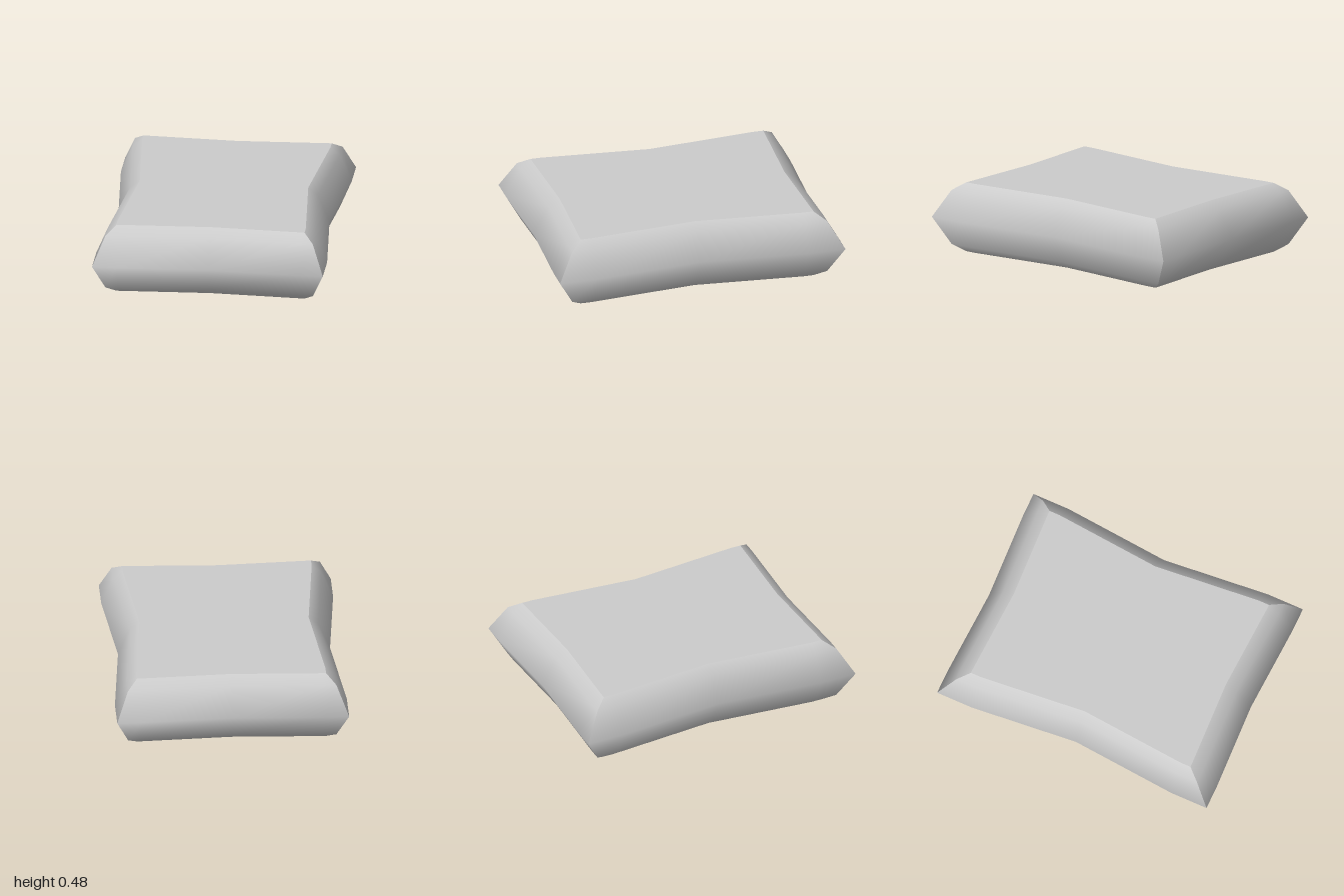
import * as THREE from 'three';

// Half-profile of the rim: height, half width (x), half depth (z)
const LEVELS = [
  [0, 0.64, 0.815],
  [0.052, 0.705, 0.893],
  [0.24, 0.785, 1],
  [0.428, 0.705, 0.893],
  [0.48, 0.64, 0.815],
];
const WAIST_X = { depth: 0.067, reach: 0.74 };
const WAIST_Z = { depth: 0.028, reach: 0.62 };

// Inward pinch, strongest at the middle of a side
const pinch = (t, w) => w.depth * Math.max(0, 1 - Math.abs(t) / w.reach);

// Points along one side at a level, counter-clockwise seen from above
function sideRow([y, hx, hz], along) {
  const isFront = along === 'x';
  const end = isFront ? hx : hz;
  const reach = (isFront ? WAIST_Z : WAIST_X).reach;
  return [-end, -reach, 0, reach, end].map((t) => isFront
    ? [t, y, hz - pinch(t, WAIST_Z)]
    : [hx - pinch(t, WAIST_X), y, -t]);
}

function makeGeometry(points, index) {
  const geo = new THREE.BufferGeometry();
  geo.setAttribute('position', new THREE.Float32BufferAttribute(points.flat(), 3));
  geo.setIndex(index);
  geo.computeVertexNormals();
  return geo;
}

// Bulging side, smooth within itself and sharp at its borders
function sideGeometry(along) {
  const rows = LEVELS.map((level) => sideRow(level, along));
  const n = rows[0].length;
  const index = [];
  for (let r = 0; r < rows.length - 1; r++) {
    for (let c = 0; c < n - 1; c++) {
      const a = r * n + c;
      index.push(a, a + 1, a + n + 1, a, a + n + 1, a + n);
    }
  }
  return makeGeometry(rows.flat(), index);
}

// Flat face with pinched outline, fanned from its centre
function capGeometry(level, up) {
  const half = [...sideRow(level, 'x').slice(0, -1), ...sideRow(level, 'z').slice(0, -1)];
  const ring = [...half, ...half.map(([x, y, z]) => [-x, y, -z])];
  const index = [];
  ring.forEach((_, i) => {
    const a = i + 1, b = ((i + 1) % ring.length) + 1;
    index.push(0, up ? a : b, up ? b : a);
  });
  return makeGeometry([[0, level[0], 0], ...ring], index);
}

export function createModel() {
  const group = new THREE.Group();
  group.name = 'cushion';
  const material = new THREE.MeshStandardMaterial({ color: 0xcccccc });
  const add = (name, geometry, turn = 0) => {
    const mesh = new THREE.Mesh(geometry, material);
    mesh.name = name;
    mesh.rotation.y = turn;
    group.add(mesh);
  };

  // Rim
  const front = sideGeometry('x');
  const flank = sideGeometry('z');
  add('frontSide', front);
  add('backSide', front, Math.PI);
  add('leftSide', flank);
  add('rightSide', flank, Math.PI);

  // Flat faces
  add('topFace', capGeometry(LEVELS[LEVELS.length - 1], true));
  add('bottomFace', capGeometry(LEVELS[0], false));
  return group;
}
